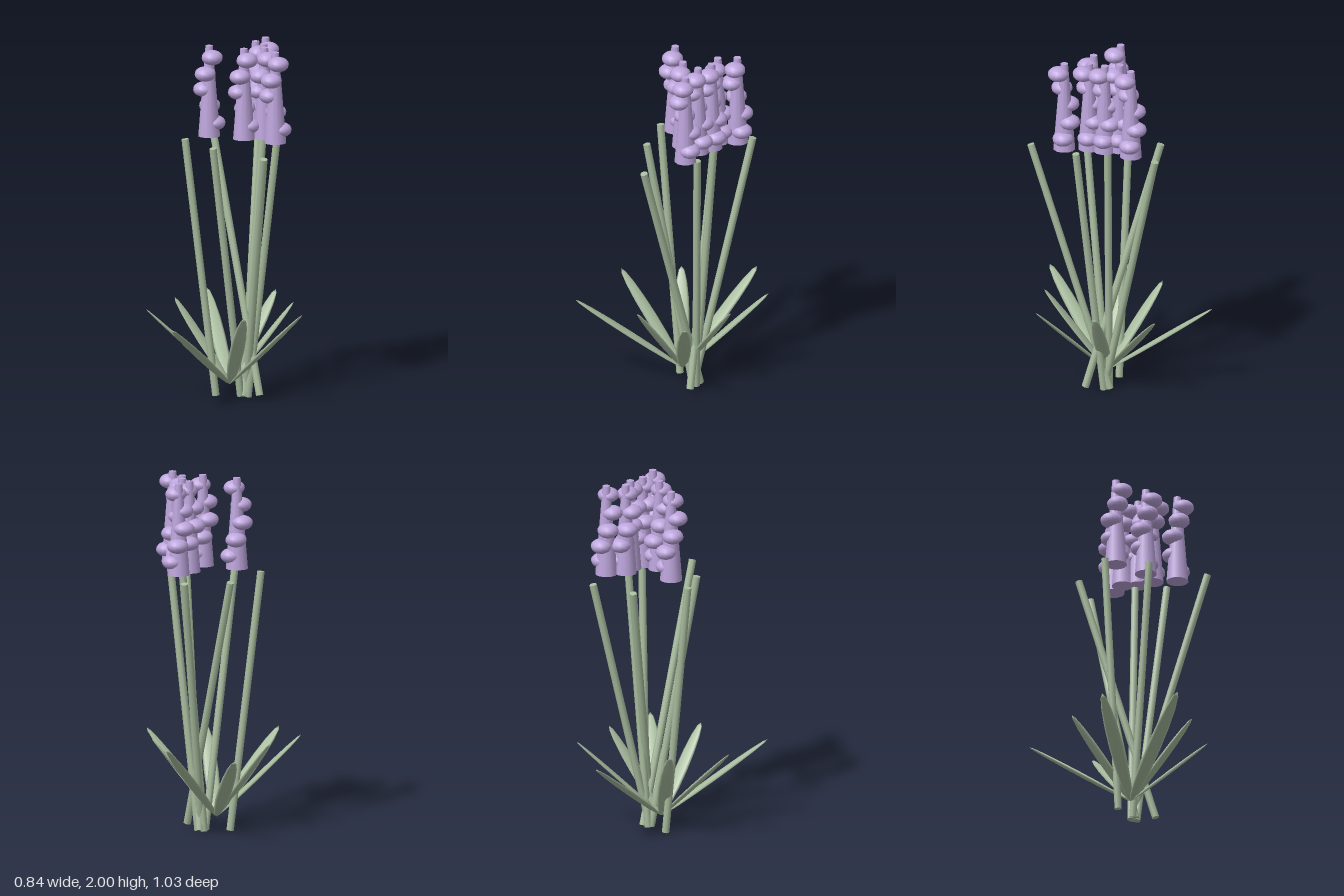
import * as THREE from 'three';

const green = new THREE.MeshStandardMaterial({ color: 0xa9bd9f });
const lavender = new THREE.MeshStandardMaterial({ color: 0xbda5dc });
const UP = new THREE.Vector3(0, 1, 0);

function add(parent, name, geometry, material) {
  const mesh = new THREE.Mesh(geometry, material);
  mesh.name = name;
  parent.add(mesh);
  return mesh;
}

// Straight round stem between two points
function makeStem(parent, base, top) {
  const a = new THREE.Vector3(...base), b = new THREE.Vector3(...top);
  const dir = b.clone().sub(a);
  const stem = add(parent, 'stem', new THREE.CylinderGeometry(0.021, 0.021, dir.length(), 8), green);
  stem.position.copy(a).add(b).multiplyScalar(0.5);
  stem.quaternion.setFromUnitVectors(UP, dir.normalize());
}

// Flattened ellipsoid blade from the crown to its tip, lying broad side up
function makeLeaf(parent, base, tip) {
  const a = new THREE.Vector3(...base), b = new THREE.Vector3(...tip);
  const along = b.clone().sub(a);
  const length = along.length();
  along.normalize();
  const across = new THREE.Vector3().crossVectors(along, UP).normalize();
  const normal = new THREE.Vector3().crossVectors(across, along);
  const leaf = add(parent, 'leaf', new THREE.SphereGeometry(1, 8, 8), green);
  leaf.quaternion.setFromRotationMatrix(new THREE.Matrix4().makeBasis(across, along, normal));
  leaf.scale.set(0.042, length / 2, 0.01);
  leaf.position.copy(a).add(b).multiplyScalar(0.5);
}

// Tapered spike with five squashed blooms spiralling up it
function makeFlower(parent, x, z) {
  const flower = new THREE.Group();
  flower.name = 'flower';
  flower.position.set(x, 0, z);
  const spike = add(flower, 'spike', new THREE.CylinderGeometry(0.021, 0.062, 0.513, 12), lavender);
  spike.position.y = 1.7435;
  for (let i = 0; i < 5; i++) {
    const angle = (i / 5) * Math.PI * 2;
    const bloom = add(flower, 'bloom', new THREE.SphereGeometry(0.06, 12, 10), lavender);
    bloom.scale.y = 0.7;
    bloom.position.set(0.033 * Math.cos(angle), 1.56 + 0.0945 * i, -0.033 * Math.sin(angle));
  }
  parent.add(flower);
}

export function createModel() {
  const model = new THREE.Group();
  model.name = 'floweringPlant';

  // Stems: base, top
  [
    [[0.205, 0.03, 0.175], [0.027, 1.455, -0.215]],
    [[0.14, 0.01, 0.08], [0.29, 1.46, -0.238]],
    [[-0.012, 0.01, 0.03], [-0.182, 1.47, 0.01]],
    [[0.12, 0.01, 0.07], [-0.073, 1.46, 0.233]],
    [[0.158, 0.012, 0.045], [0.158, 1.445, 0.495]],
    [[0.13, 0.005, 0.055], [0.255, 1.475, 0.037]],
    [[0.16, 0.005, 0.08], [0.293, 1.47, 0.21]],
  ].forEach(([base, top]) => makeStem(model, base, top));

  // Leaves radiating from one crown
  [
    [0.056, 0.5, -0.516], [0.056, 0.53, 0.44], [-0.42, 0.53, 0.077], [0.42, 0.53, 0.077],
    [-0.365, 0.5, 0.5], [0.393, 0.53, 0.415], [0.393, 0.53, -0.257], [-0.2, 0.53, -0.177],
  ].forEach((tip) => makeLeaf(model, [0.056, 0.08, 0.08], tip));

  // Flower spikes floating just above the stems
  [
    [-0.05, 0.03], [0.122, 0.146], [0.238, 0.146], [0.27, 0.28],
    [0.254, 0.055], [0.226, -0.025], [0.3, -0.104],
  ].forEach(([x, z]) => makeFlower(model, x, z));

  return model;
}
